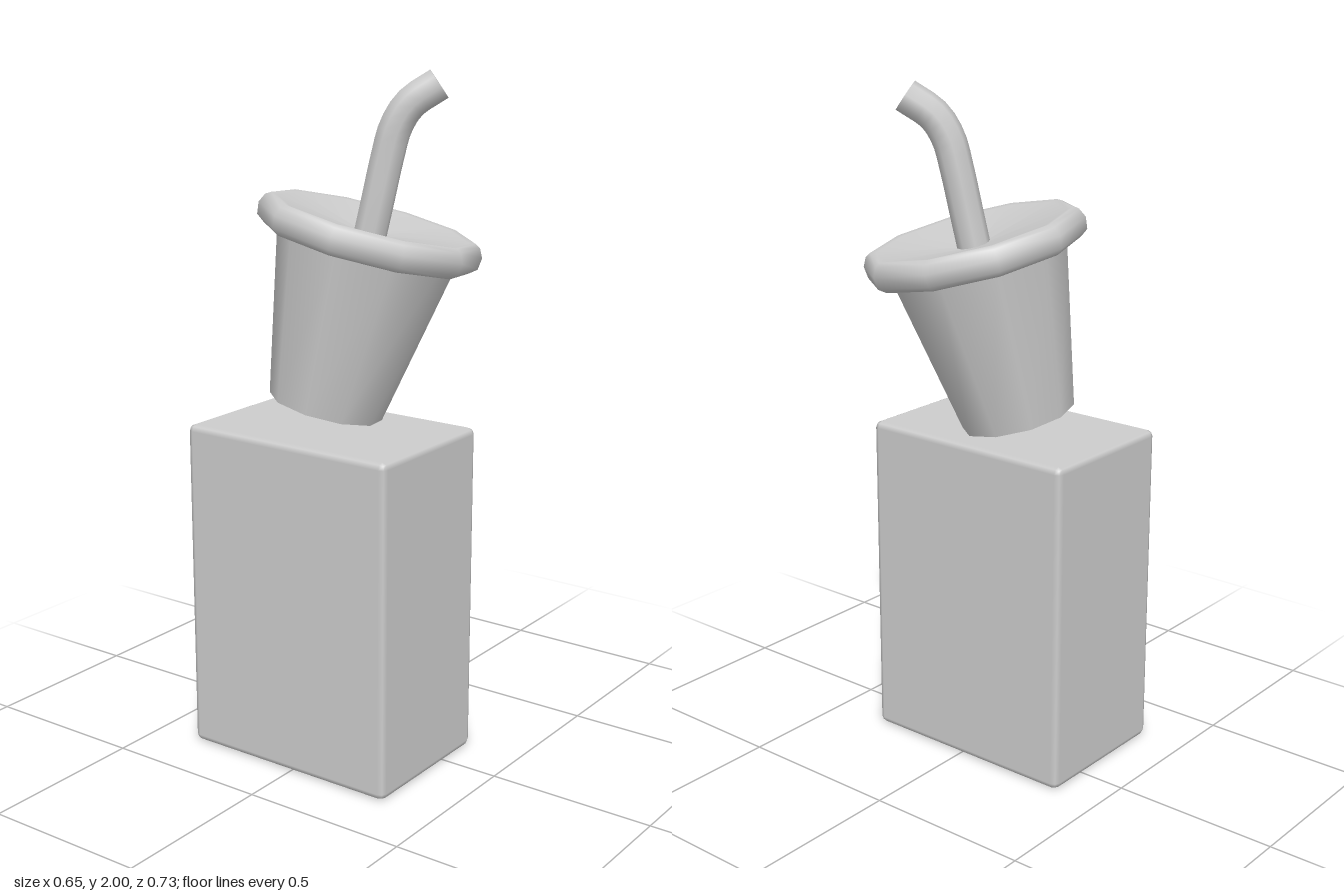
import * as THREE from 'three';
import { RoundedBoxGeometry } from 'three/addons/geometries/RoundedBoxGeometry.js';

const SIDES = 10;

export function createModel() {
  const model = new THREE.Group();
  model.name = 'cupOnPedestal';
  const paleGrey = new THREE.MeshStandardMaterial({ color: 0xcccccc });
  paleGrey.name = 'paleGrey';

  const add = (parent, name, geometry) => {
    const mesh = new THREE.Mesh(geometry, paleGrey);
    mesh.name = name;
    parent.add(mesh);
    return mesh;
  };
  const lathe = (points) =>
    new THREE.LatheGeometry(points.map(([r, y]) => new THREE.Vector2(r, y)), SIDES);

  // Pedestal block with slightly bevelled edges
  add(model, 'pedestal', new RoundedBoxGeometry(0.465, 0.995, 0.695, 1, 0.02))
    .position.set(-0.092, 0.4975, -0.017);

  // Cup and lid share a frame that leans forward and to the left
  const cup = new THREE.Group();
  cup.name = 'cup';
  cup.position.set(-0.06, 1.04, -0.06);
  const axis = new THREE.Vector3(0.15, 1, 0.2).normalize();
  cup.quaternion.setFromUnitVectors(new THREE.Vector3(0, 1, 0), axis);
  cup.rotateY(THREE.MathUtils.degToRad(-2.5));
  model.add(cup);

  // Tapered cup body, closed at both ends
  const height = 0.49;
  add(cup, 'cupBody', new THREE.CylinderGeometry(0.262, 0.168, height, SIDES))
    .position.y = height / 2;

  // Rounded lid rim, open in the middle for the dished top
  add(cup, 'lidRim', lathe([
    [0.25, 0.482], [0.3, 0.478], [0.322, 0.495], [0.326, 0.53],
    [0.313, 0.556], [0.298, 0.565], [0.28, 0.562],
  ]));
  add(cup, 'lidTop', lathe([[0.28, 0.562], [0, 0.515]]));

  // Bent drinking straw
  const path = new THREE.CatmullRomCurve3([
    [0.012, 1.53, 0.042], [0.024, 1.64, 0.063], [0.038, 1.76, 0.085],
    [0.05, 1.845, 0.105], [0.072, 1.908, 0.138], [0.118, 1.962, 0.203],
  ].map((p) => new THREE.Vector3(...p)));
  const straw = new THREE.Group();
  straw.name = 'straw';
  model.add(straw);
  const radius = 0.048;
  add(straw, 'strawTube', new THREE.TubeGeometry(path, 16, radius, 8));

  // Flat end caps of the straw, built from the same frames as the tube
  const frames = path.computeFrenetFrames(16);
  for (const [name, i, sign] of [['strawTip', 16, 1], ['strawFoot', 0, -1]]) {
    const cap = add(straw, name, new THREE.CircleGeometry(radius, 8));
    const z = frames.tangents[i].clone().multiplyScalar(sign);
    const x = frames.normals[i].clone();
    const y = new THREE.Vector3().crossVectors(z, x);
    cap.quaternion.setFromRotationMatrix(new THREE.Matrix4().makeBasis(x, y, z));
    cap.position.copy(path.getPointAt(i / 16));
  }

  return model;
}
